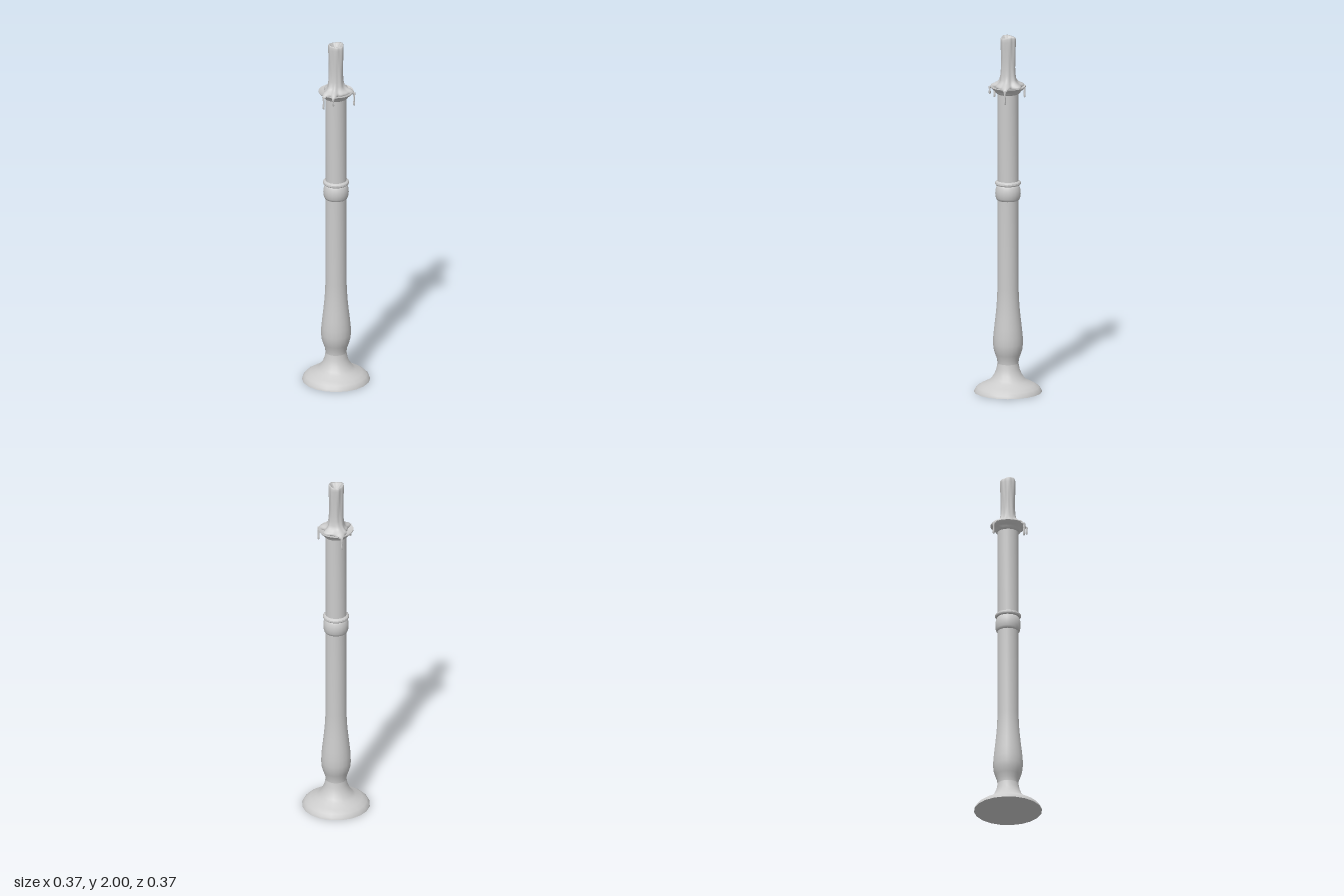
import * as THREE from 'three';
import { toCreasedNormals } from 'three/addons/utils/BufferGeometryUtils.js';

const material = new THREE.MeshStandardMaterial({ color: 0xcccccc, side: THREE.DoubleSide });

function add(group, name, geometry) {
  const mesh = new THREE.Mesh(geometry, material);
  mesh.name = name;
  group.add(mesh);
  return mesh;
}

// Turned part: profile of [radius, height] pairs from bottom to top
function turned(profile, sides = 20) {
  const points = profile.map(([r, y]) => new THREE.Vector2(r, y));
  return toCreasedNormals(new THREE.LatheGeometry(points, sides), 0.75);
}

// Outline of the melted wax on the tray: [degrees from +x towards +z, radius]
const OUTLINE = [
  [-13, 0.088], [16, 0.062], [45, 0.104], [66, 0.08], [92, 0.074], [116, 0.07], [136, 0.105],
  [151, 0.08], [169, 0.108], [196, 0.066], [228, 0.062], [255, 0.079], [279, 0.102], [312, 0.074], [347, 0.088],
];

function skirtRadius(angle) {
  let deg = THREE.MathUtils.radToDeg(angle);
  if (deg > 347) deg -= 360;
  const i = OUTLINE.findIndex(([d], n) => n > 0 && deg <= d);
  const [d0, r0] = OUTLINE[i - 1];
  const [d1, r1] = OUTLINE[i];
  return THREE.MathUtils.lerp(r0, r1, THREE.MathUtils.smoothstep(deg, d0, d1));
}

// Lumpy candle column
function candleRadius(a, y) {
  return 0.0405 + 0.0018 * Math.sin(3 * a + 0.5 + 5 * y) + 0.0012 * Math.sin(7 * a + 9 * y)
    + 0.0008 * Math.sin(11 * a - 23 * y);
}

// Rings from the underside, round the skirt edge, up the column and into the melted hollow:
// [height, blend from column to skirt, scale]
const WAX_RINGS = [
  [1.712, 0, 0.6], [1.714, 1, 0.8], [1.714, 1, 0.97], [1.719, 1, 1], [1.726, 1, 0.97],
  [1.731, 0.85, 0.95], [1.737, 0.6, 0.95], [1.746, 0.35, 0.96], [1.76, 0.14, 0.98], [1.785, 0.04, 0.98],
  [1.82, 0, 0.96], [1.86, 0, 0.96], [1.9, 0, 0.98], [1.94, 0, 1.02], [1.972, 0, 1.05], [1.988, 0, 1.04],
  [1.996, 0, 0.96], [1.994, 0, 0.82], [1.982, 0, 0.6], [1.972, 0, 0.35], [1.97, 0, 0],
];

function waxGeometry(sides = 72) {
  const positions = [];
  const index = [];
  WAX_RINGS.forEach(([height, blend, scale], row) => {
    for (let i = 0; i < sides; i++) {
      const a = (i / sides) * Math.PI * 2;
      const r = scale * THREE.MathUtils.lerp(candleRadius(a, height), skirtRadius(a), blend);
      const droop = Math.max(0, r - 0.088) * 0.7;
      const rim = height > 1.98 ? 0.004 * Math.sin(2 * a + 1) * scale : 0;
      positions.push(r * Math.cos(a), height - droop + rim, r * Math.sin(a));
      if (row === 0) continue;
      const j = (i + 1) % sides;
      const low = (row - 1) * sides;
      const high = row * sides;
      index.push(low + i, high + i, low + j, low + j, high + i, high + j);
    }
  });
  const geometry = new THREE.BufferGeometry();
  geometry.setAttribute('position', new THREE.Float32BufferAttribute(positions, 3));
  geometry.setIndex(index);
  geometry.computeVertexNormals();
  return geometry;
}

// Hanging drip, thicker at its rounded lower end
function dripGeometry(top, bottom) {
  const h = top - bottom;
  return turned([
    [0, bottom], [0.004, bottom + 0.002], [0.0062, bottom + 0.008], [0.0055, bottom + 0.02],
    [0.0045, bottom + h * 0.6], [0.007, top - 0.008], [0.006, top - 0.002], [0, top],
  ], 10);
}

export function createModel() {
  const model = new THREE.Group();
  model.name = 'candlestick';

  // Flared foot
  add(model, 'foot', turned([
    [0, 0], [0.187, 0], [0.183, 0.012], [0.17, 0.027], [0.145, 0.043], [0.108, 0.06], [0.092, 0.075],
    [0.075, 0.1], [0.063, 0.13], [0.058, 0.16],
  ]));

  // Swelling lower stem running into the straight shaft
  add(model, 'lowerShaft', turned([
    [0.058, 0.16], [0.06, 0.183], [0.07, 0.21], [0.079, 0.24], [0.082, 0.27], [0.081, 0.31],
    [0.076, 0.36], [0.069, 0.42], [0.063, 0.48], [0.06, 0.53], [0.058, 0.58], [0.058, 1.1],
  ]));

  // Knop and ring at mid height
  add(model, 'knop', turned([
    [0.056, 1.078], [0.062, 1.081], [0.067, 1.093], [0.07, 1.115], [0.069, 1.137],
    [0.064, 1.153], [0.06, 1.162], [0.056, 1.166],
  ]));
  add(model, 'collarRing', turned([
    [0.056, 1.163], [0.067, 1.165], [0.072, 1.172], [0.071, 1.18], [0.065, 1.185], [0.058, 1.188],
  ]));

  add(model, 'upperShaft', turned([[0.058, 1.16], [0.058, 1.69]]));

  // Shallow drip tray
  add(model, 'dripTray', turned([
    [0.057, 1.677], [0.066, 1.682], [0.07, 1.69], [0.078, 1.699], [0.09, 1.708], [0.097, 1.717],
    [0.096, 1.722], [0.09, 1.72], [0.075, 1.714], [0, 1.712],
  ]));

  // Melted candle with its drips over the tray edge
  add(model, 'candle', waxGeometry());
  for (const [x, z, bottom] of [
    [-0.1, 0.02, 1.64], [0.071, 0.071, 1.637], [-0.073, 0.071, 1.67], [0.016, -0.1, 1.645],
  ]) {
    add(model, 'waxDrip', dripGeometry(1.717, bottom)).position.set(x, 0, z);
  }

  return model;
}
